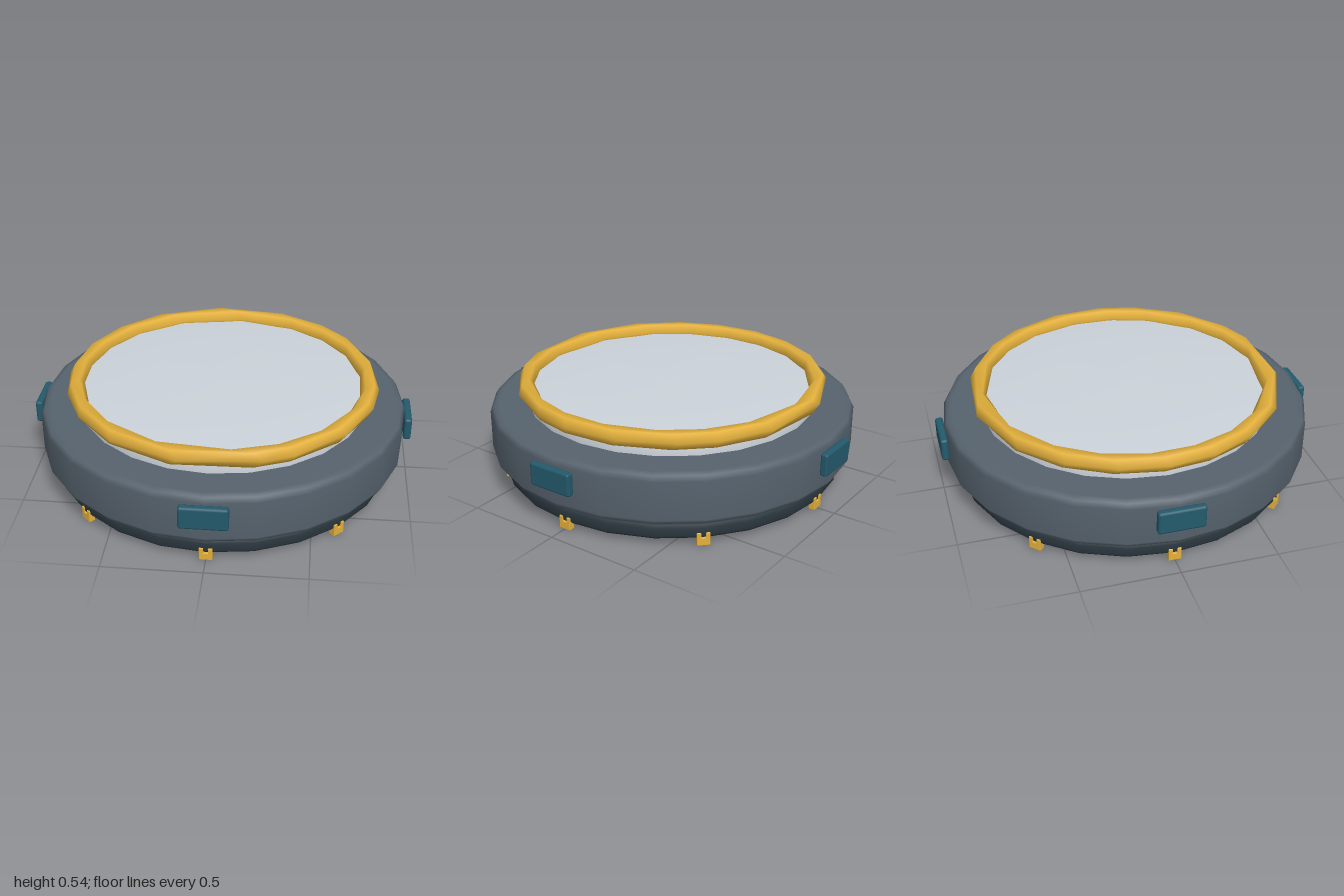
import * as THREE from 'three';
import { RoundedBoxGeometry } from 'three/addons/geometries/RoundedBoxGeometry.js';

const paint = (color) => new THREE.MeshStandardMaterial({ color });
const slate = paint(0x56626d);
const navy = paint(0x2a363e);
const gold = paint(0xe3b03c);
const teal = paint(0x235a6c);
const glass = paint(0xcbd2d9);

// Round part turned from a [radius, height] profile, listed bottom to top
function turned(name, profile, material) {
  const points = profile.map(([r, y]) => new THREE.Vector2(r, y));
  const mesh = new THREE.Mesh(new THREE.LatheGeometry(points, 24), material);
  mesh.name = name;
  return mesh;
}

// Six-sided ring with uneven hand-cut segments; the inner edge is staggered
function trimGeometry(radius, tube, y) {
  const degrees = [3, 17, 37, 60, 71, 100, 126, 146, 163, 180, 197, 215, 234, 260, 288, 308, 322, 343];
  const n = degrees.length, sides = 6;
  const position = [], index = [];
  for (let i = 0; i < n; i++) {
    const next = i + 1 < n ? degrees[i + 1] : degrees[0] + 360;
    for (let j = 0; j < sides; j++) {
      const s = (j / sides) * Math.PI * 2;
      const stagger = 0.25 * (1 - Math.cos(s));
      const a = THREE.MathUtils.degToRad(THREE.MathUtils.lerp(degrees[i], next, stagger));
      const r = radius + tube * Math.cos(s);
      position.push(r * Math.cos(a), y + tube * Math.sin(s), r * Math.sin(a));
      const i2 = (i + 1) % n, j2 = (j + 1) % sides;
      const p = i * sides + j, up = i * sides + j2;
      const along = i2 * sides + j, both = i2 * sides + j2;
      index.push(p, up, along, up, both, along);
    }
  }
  const geometry = new THREE.BufferGeometry();
  geometry.setAttribute('position', new THREE.Float32BufferAttribute(position, 3));
  geometry.setIndex(index);
  geometry.computeVertexNormals();
  return geometry;
}

// Small foot clip: a block with two upright prongs, facing +z
function footClip(radius) {
  const clip = new THREE.Group();
  clip.name = 'footClip';
  const add = (name, w, h, d, x, y) => {
    const mesh = new THREE.Mesh(new RoundedBoxGeometry(w, h, d, 1, 0.004), gold);
    mesh.name = name;
    mesh.position.set(x, y, radius);
    clip.add(mesh);
  };
  add('clipBlock', 0.066, 0.042, 0.036, 0, 0.022);
  for (const side of [-1, 1]) add('clipProng', 0.022, 0.034, 0.036, side * 0.022, 0.052);
  return clip;
}

export function createModel() {
  const model = new THREE.Group();
  model.name = 'roundDevice';

  // Thin base plate, with a gap below the body
  model.add(turned('basePlate', [
    [0, 0.035], [0.87, 0.035], [0.89, 0.038], [0.9, 0.052],
    [0.9, 0.094], [0.89, 0.108], [0.87, 0.112], [0, 0.112],
  ], navy));

  // Main body with bevelled rims
  model.add(turned('body', [
    [0, 0.14], [0.92, 0.14], [0.95, 0.15], [0.965, 0.175],
    [0.965, 0.375], [0.95, 0.4], [0.92, 0.41], [0, 0.41],
  ], slate));

  // Raised lens with a shallow crown
  model.add(turned('lens', [
    [0.765, 0.4], [0.765, 0.472], [0.74, 0.488], [0.4, 0.5], [0, 0.505],
  ], glass));

  // Gold trim around the lens
  const trim = new THREE.Mesh(trimGeometry(0.776, 0.046, 0.5), gold);
  trim.name = 'trimRing';
  model.add(trim);

  // Four side buttons
  for (let i = 0; i < 4; i++) {
    const pivot = new THREE.Group();
    pivot.name = 'sideButton';
    pivot.rotation.y = (i * Math.PI) / 2;
    const button = new THREE.Mesh(new RoundedBoxGeometry(0.24, 0.12, 0.04, 1, 0.012), teal);
    button.name = 'buttonCap';
    button.position.set(0, 0.31, 0.98);
    pivot.add(button);
    model.add(pivot);
  }

  // Eight foot clips around the base
  for (let i = 0; i < 8; i++) {
    const clip = footClip(0.886);
    clip.rotation.y = (i * Math.PI) / 4;
    model.add(clip);
  }

  return model;
}
